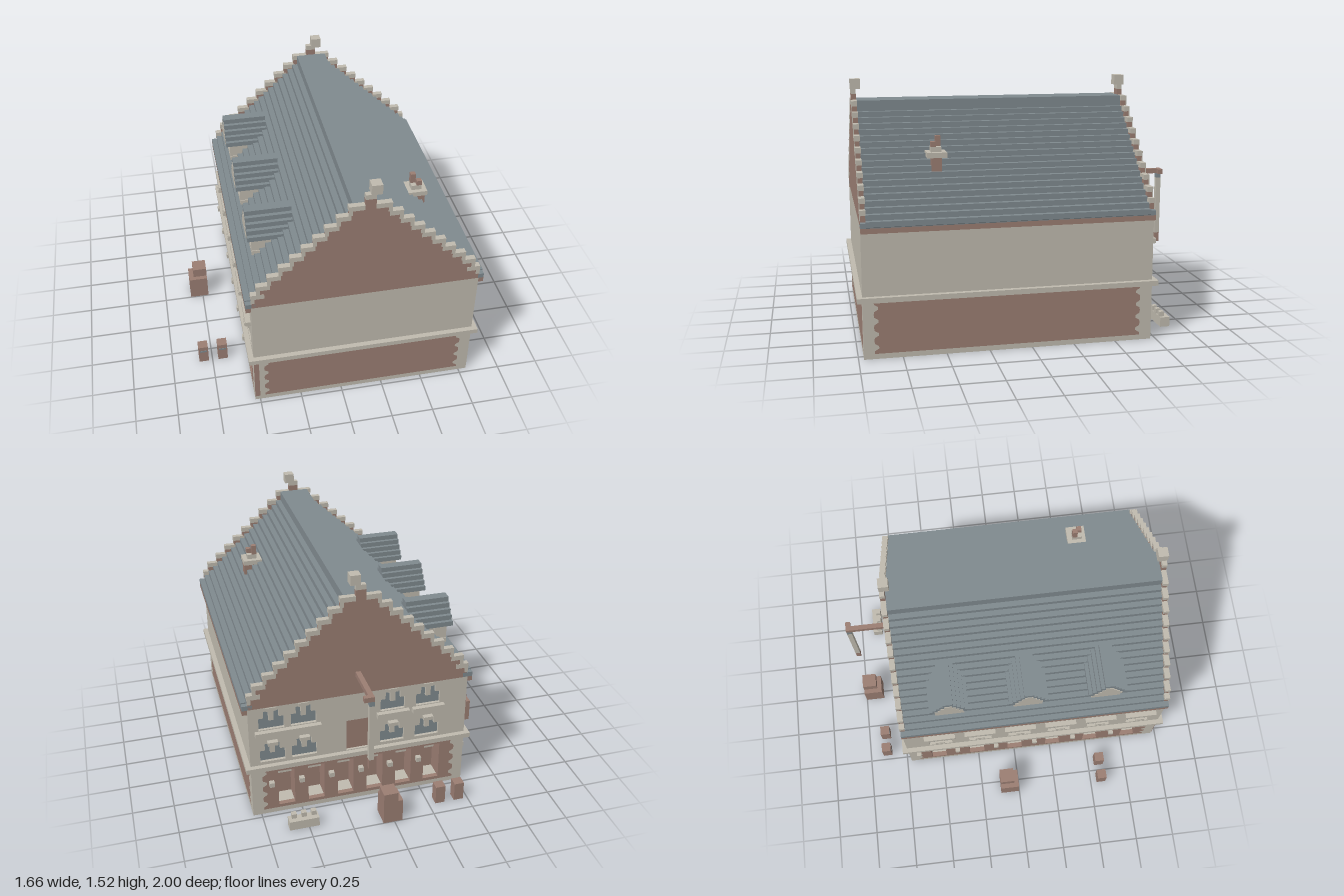
import * as THREE from 'three';

export function createModel() {
  const root = new THREE.Group();
  const mat = (name, color) => Object.assign(
    new THREE.MeshStandardMaterial({ color, side: THREE.DoubleSide }), { name });
  const stone = mat('pale stone', 0xc0bbaf);
  const brick = mat('brick', 0x9b7e73);
  const slate = mat('slate', 0x808a8f);

  // Box from its min and max corners
  const box = (name, m, x0, x1, y0, y1, z0, z1, parent = root) => {
    const mesh = new THREE.Mesh(new THREE.BoxGeometry(x1 - x0, y1 - y0, z1 - z0), m);
    mesh.position.set((x0 + x1) / 2, (y0 + y1) / 2, (z0 + z1) / 2);
    mesh.name = name;
    parent.add(mesh);
  };
  const vecs = (pts) => pts.map(([x, y]) => new THREE.Vector2(x, y));
  const extrude = (name, m, outline, holes, z0, z1, parent = root) => {
    const shape = new THREE.Shape(vecs(outline));
    holes.forEach((h) => shape.holes.push(new THREE.Path(vecs(h))));
    const mesh = new THREE.Mesh(
      new THREE.ExtrudeGeometry(shape, { depth: z1 - z0, bevelEnabled: false }), m);
    mesh.position.z = z0;
    mesh.name = name;
    parent.add(mesh);
  };
  const rect = (x0, x1, y0, y1) => [[x0, y0], [x1, y0], [x1, y1], [x0, y1]];
  // Right half of a stepped profile, from the top down
  const steps = (n, top, rise, w0, run) => {
    const p = [];
    for (let k = 0; k < n; k++) {
      p.push([w0 + run * k, top - rise * k], [w0 + run * k, top - rise * (k + 1)]);
    }
    return p;
  };
  const mirror = (half, c = 0) => [
    ...half.map(([x, y]) => [c + x, y]),
    ...half.slice().reverse().map(([x, y]) => [c - x, y])];

  const X0 = -0.53, X1 = 0.8, Z0 = -0.72, Z1 = 0.97, MID = 0.135, T = 0.03;
  const BASE = 0.335, BAND = 0.365, EAVE = 0.76;

  // Brick panel outline with scalloped quoin edges
  const panelOutline = (u0, u1) => {
    const right = [], left = [], n = 4, h = (BASE - 0.03) / n;
    for (let i = 0; i < n; i++) {
      [[0, 0], [0.22, 0.003], [0.4, 0.026], [0.6, 0.026], [0.78, 0.003]].forEach(([f, d]) => {
        const y = 0.03 + (i + f) * h;
        right.push([u1 - d, y]);
        left.unshift([u0 + d, y]);
      });
    }
    return [...right, [u1, BASE - 0.001], [u0, BASE - 0.001], ...left];
  };

  // One side of the house: u runs across, outer face at local z = 0
  const side = (name, angle, x, z, u0, u1, p0, p1, windows, niches, doors = []) => {
    const g = new THREE.Group();
    g.name = name;
    g.position.set(x, 0, z);
    g.rotation.y = angle;
    root.add(g);
    const panel = panelOutline(p0, p1);
    extrude('groundFloorWall', stone, rect(u0, u1, 0, BASE), [panel], -T, 0, g);
    extrude('brickPanel', brick, panel,
      niches.map((u) => rect(u - 0.05, u + 0.05, 0.05, 0.3)), -T, 0, g);
    const holes = doors.map((u) => rect(u - 0.075, u + 0.075, 0.37, 0.58));
    for (const u of windows) for (const y of [0.385, 0.61]) {
      // Opening with stepped upper corners
      holes.push([[u - 0.075, y], [u + 0.075, y], [u + 0.075, y + 0.08], [u + 0.045, y + 0.08],
        [u + 0.045, y + 0.125], [u - 0.045, y + 0.125], [u - 0.045, y + 0.08], [u - 0.075, y + 0.08]]);
      box('windowPane', slate, u - 0.078, u + 0.078, y - 0.003, y + 0.128, -0.025, -0.018, g);
      box('windowMullion', stone, u - 0.015, u + 0.015, y + 0.06, y + 0.125, -T, 0, g);
      box('keystone', stone, u - 0.03, u + 0.03, y + 0.125, y + 0.148, -0.01, y < 0.5 ? T : 0.006, g);
      box('innerSill', stone, u - 0.08, u + 0.08, y - 0.02, y, -0.06, -T, g);
      if (y > 0.5) box('windowSill', stone, u - 0.1, u + 0.1, 0.575, 0.605, -0.01, T, g);
    }
    extrude('upperWall', stone, rect(u0, u1, BAND, EAVE), holes, -T, 0, g);
    doors.forEach((u) => box('loadingDoor', brick, u - 0.08, u + 0.08, 0.367, 0.585, -0.025, -0.015, g));
    // Recessed arcade bays
    const gap = niches.length > 1 ? (niches[1] - niches[0]) / 2 : 0;
    for (const u of niches) {
      const d = -0.12;
      box('nicheBack', brick, u - 0.055, u + 0.055, 0.045, 0.305, d - 0.01, d, g);
      for (const s of [-1, 1]) {
        const e = u + s * 0.055;
        box('nicheCheek', brick, e - 0.005, e + 0.005, 0.045, 0.305, d, -T, g);
      }
      box('nicheHead', brick, u - 0.05, u + 0.05, 0.3, 0.31, d, -T, g);
      box('nicheFloor', stone, u - 0.05, u + 0.05, 0.04, 0.05, d, -T, g);
      box('nicheWindow', slate, u - 0.04, u + 0.04, 0.24, 0.29, d, d + 0.006, g);
      box('nicheLintel', stone, u - 0.05, u + 0.05, 0.215, 0.235, d, d + 0.03, g);
      box('pierBlock', stone, u - gap - 0.015, u - gap + 0.015, 0.21, 0.24, -0.005, T, g);
    }
  };

  const bays = [0, 1, 2, 3, 4, 5].map((i) => -0.52 + 0.262 * i);
  const backBays = [0, 1, 2, 3, 4, 5].map((i) => -0.59 + 0.183 * i);
  side('frontWall', 0, 0, Z1, X0, X1, -0.47, 0.735, [], []);
  side('backWall', Math.PI, 0, Z0, -X1, -X0, -0.735, 0.47, [-0.665, -0.475, 0.065, 0.285],
    backBays, [-0.145]);
  side('leftWall', Math.PI / 2, X1, 0, -Z1 + T, -Z0 - T, -0.91, 0.65, [], []);
  side('rightWall', -Math.PI / 2, X0, 0, Z0 + T, Z1 - T, -0.66, 0.91, bays.map((z) => z + 0.03), bays);
  box('cornerBrick', brick, X0, -0.5, 0.03, BASE, Z1, Z1 + 0.003);

  // Cornice ring between the floors
  box('frontCornice', stone, X0 - T, X1 + T, BASE, BAND, Z1 - T, Z1 + T);
  box('backCornice', stone, X0 - T, X1 + T, BASE, BAND, Z0 - T, Z0 + T);
  for (const x of [X0, X1]) {
    box('sideCornice', stone, x - T, x + T, BASE, BAND, Z0 + T, Z1 - T);
    // Eaves and gutter along the long sides
    box('eaves', brick, x - T, x + T, 0.73, 0.76, Z0, Z1);
    box('gutter', slate, x - T, x + T, 0.76, 0.789, Z0, Z1);
  }

  // Stepped roof shell with a taller ridge step
  const roofHalf = steps(20, 1.395, 0.0315, 0.06, 0.0335);
  roofHalf.splice(0, 2);
  roofHalf[0][1] = 1.395;
  const roofInner = steps(20, 1.365, 0.0315, 0.04, 0.0335);
  const shell = [
    ...roofHalf.map(([x, y]) => [MID + x, y]),
    ...roofInner.slice().reverse().map(([x, y]) => [MID + x, y]),
    ...roofInner.map(([x, y]) => [MID - x, y]),
    ...roofHalf.slice().reverse().map(([x, y]) => [MID - x, y])];
  extrude('roof', slate, shell, [], Z0 + T, Z1 - T);

  // Crow-stepped gables with stone copings and finials
  const gableHalf = steps(10, 1.385, 0.06, 0.116, 0.064);
  for (let i = 18; i < 20; i++) gableHalf[i][0] = 0.661;
  gableHalf[19][1] = EAVE;
  for (const [name, z0, out] of [['frontGable', Z1 - T, 1], ['backGable', Z0, -1]]) {
    const g = new THREE.Group();
    g.name = name;
    root.add(g);
    extrude('gableBrick', brick, mirror(gableHalf, MID), [], z0, z0 + T, g);
    const face = out > 0 ? z0 + T : z0;
    for (let k = 0; k < 10; k++) {
      const w = Math.min(0.12 + 0.064 * k, 0.665), y = 1.395 - 0.06 * k;
      for (const s of [-1, 1]) {
        const a = MID + s * w, b = MID + s * (w - (k ? 0.078 : 0.09)), c = MID + s * (w - 0.022);
        box('copingStep', stone, Math.min(a, b), Math.max(a, b), y - T, y, z0 - 0.002, z0 + T + 0.002, g);
        box('copingFace', stone, Math.min(a, c), Math.max(a, c), y - 0.06, y - T,
          face - 0.002, face + 0.002, g);
      }
    }
    box('finialBase', brick, 0.105, 0.165, 1.37, 1.43, z0, z0 + T, g);
    box('finialPost', stone, 0.105, 0.165, 1.43, 1.46, z0, z0 + T, g);
    const zf = out > 0 ? Z1 - 0.055 : Z0;
    box('finial', stone, 0.135, 0.195, 1.46, 1.52, zf, zf + 0.06, g);
  }

  // Three dormers on the right slope
  for (const z of [-0.4, 0.085, 0.57]) {
    const g = new THREE.Group();
    g.name = 'dormer';
    g.position.z = z;
    g.rotation.y = -Math.PI / 2;
    root.add(g);
    extrude('dormerRoof', slate, mirror(steps(5, 1.155, 0.03, 0.03, 0.0225)), [], 0.23, 0.5, g);
    box('dormerBody', stone, -0.08, 0.08, 0.87, 1.01, 0.25, 0.46, g);
    extrude('dormerGable', stone, mirror(steps(4, 1.125, 0.03, 0.025, 0.02)), [], 0.46, 0.503, g);
    box('dormerWindow', slate, -0.04, 0.04, 0.93, 1.01, 0.46, 0.464, g);
    box('dormerSill', stone, -0.09, 0.09, 0.88, 0.91, 0.4, 0.475, g);
    for (const s of [-1, 1]) box('dormerJamb', stone, s * 0.07 - 0.015, s * 0.07 + 0.015, 0.9, 1.01, 0.4, 0.475, g);
  }

  // Chimney
  box('chimneyBase', brick, 0.495, 0.58, 1.0, 1.1, 0.485, 0.545);
  box('chimneyCollar', stone, 0.465, 0.585, 1.095, 1.125, 0.455, 0.57);
  box('chimneyNeck', stone, 0.495, 0.555, 1.125, 1.155, 0.485, 0.545);
  box('chimneyPot', brick, 0.495, 0.525, 1.155, 1.215, 0.485, 0.515);
  box('chimneyPot', brick, 0.525, 0.555, 1.155, 1.185, 0.515, 0.545);

  // Hoist beam, rope and hook
  box('hoistBeam', brick, 0.135, 0.165, 0.88, 0.91, -1, Z0);
  box('hoistPulley', brick, 0.165, 0.195, 0.88, 0.91, -1, -0.97);
  box('hoistBlock', slate, 0.135, 0.165, 0.85, 0.88, -1, -0.97);
  box('hoistRope', stone, 0.135, 0.165, 0.485, 0.85, -1, -0.97);
  box('hoistHook', brick, 0.135, 0.165, 0.425, 0.485, -1, -0.97);

  // Crate stacks, barrels and a planter around the house
  for (const [x, z] of [[-0.83, -0.125], [-0.05, -1]]) {
    box('crate', brick, x, x + 0.118, 0, 0.15, z, z + 0.122);
    box('upperCrate', brick, x + 0.03, x + 0.118, 0.15, 0.21, z, z + 0.092);
  }
  for (const [x, z] of [[-0.833, 0.54], [-0.713, 0.54], [-0.472, -0.912], [-0.352, -0.912]]) {
    box('barrel', brick, x, x + 0.06, 0, 0.12, z, z + 0.06);
    box('barrelBand', slate, x + 0.008, x + 0.052, 0.08, 0.092, z + 0.058, z + 0.062);
  }
  box('planter', stone, 0.438, 0.618, 0, 0.06, -0.912, -0.852);
  for (let i = 0; i < 3; i++) {
    const x = 0.448 + i * 0.06;
    box('planterBlock', stone, x, x + 0.03, 0.06, 0.09, -0.882, -0.852);
  }
  return root;
}
